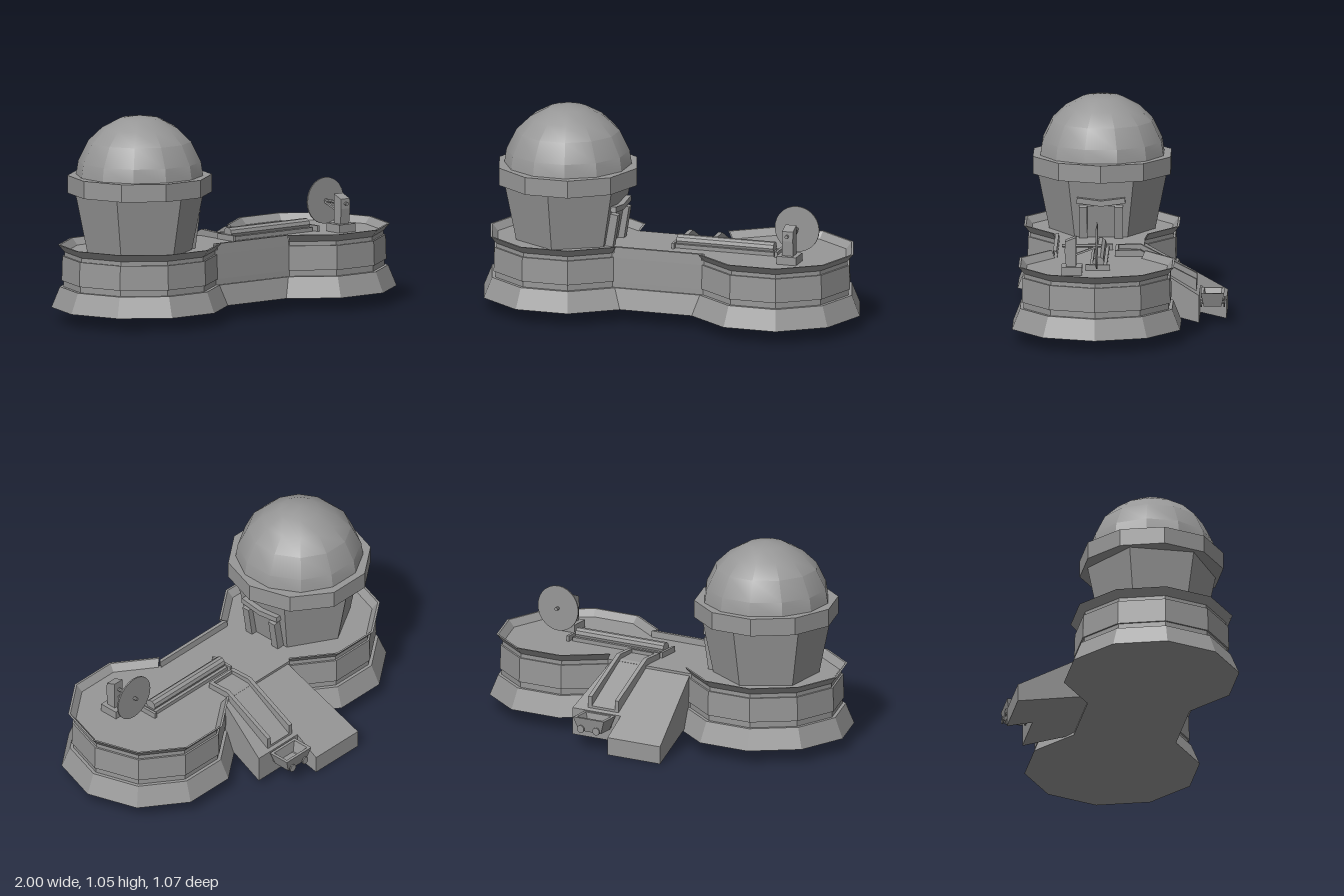
import * as THREE from 'three';
import { toCreasedNormals } from 'three/addons/utils/BufferGeometryUtils.js';

const CX = 0.553, CZ = 0.109; // centres of the two round platforms
const COLOR = 0x979797;

export function createModel() {
  const root = new THREE.Group();
  const flat = new THREE.MeshStandardMaterial({ color: COLOR, flatShading: true });
  const thin = new THREE.MeshStandardMaterial({ color: COLOR, flatShading: true, side: THREE.DoubleSide });
  const smooth = new THREE.MeshStandardMaterial({ color: COLOR });

  const add = (name, geo, x = 0, y = 0, z = 0, mat = flat, parent = root) => {
    const m = new THREE.Mesh(geo, mat);
    m.name = name;
    m.position.set(x, y, z);
    parent.add(m);
    return m;
  };
  const box = (w, h, d) => new THREE.BoxGeometry(w, h, d);

  // skin between successive rings of points
  const loft = (rings, closed) => {
    const n = rings[0].length, pos = rings.flat(2), idx = [];
    for (let i = 0; i < rings.length - 1; i++) {
      for (let j = 0; j < (closed ? n : n - 1); j++) {
        const a = i * n + j, b = i * n + (j + 1) % n;
        idx.push(a, b, a + n, b, b + n, a + n);
      }
    }
    const g = new THREE.BufferGeometry();
    g.setAttribute('position', new THREE.Float32BufferAttribute(pos, 3));
    g.setIndex(idx);
    g.computeVertexNormals();
    return g;
  };

  // side profile of [z, y] points, extruded along x
  const sideProfile = (pts, x, w) => {
    const s = new THREE.Shape(pts.map(([z, y]) => new THREE.Vector2(-z, y)));
    return new THREE.ExtrudeGeometry(s, { depth: w, bevelEnabled: false }).rotateY(Math.PI / 2).translate(x, 0, 0);
  };

  // decagon corner, and the joined outline of both platforms
  const corner = (cx, k, r, y) => [cx + r * Math.cos(k * Math.PI / 5), y, CZ - r * Math.sin(k * Math.PI / 5)];
  const outline = (r, y) => {
    const p = [];
    for (let k = -4; k <= 4; k++) p.push(corner(CX, k, r, y));
    for (let k = 1; k <= 9; k++) p.push(corner(-CX, k, r, y));
    return p;
  };
  const cap = (r, sign) => {
    const s = new THREE.Shape(outline(r, 0).map(p => new THREE.Vector2(p[0], -sign * p[2])));
    return new THREE.ShapeGeometry(s).rotateX(-sign * Math.PI / 2);
  };

  // platform walls, floor and underside
  const profile = [[0.447, 0.072], [0.404, 0.177], [0.386, 0.177], [0.386, 0.208], [0.395, 0.208],
    [0.391, 0.333], [0.381, 0.333], [0.381, 0.356]];
  add('platformWalls', loft(profile.map(([r, y]) => outline(r, y)), true));
  add('platformFloor', cap(0.381, 1), 0, 0.356);
  add('platformUnderside', cap(0.447, -1), 0, 0.072);

  // flared parapets, open towards the bridge
  const lip = [[0.381, 0.354], [0.413, 0.391], [0.402, 0.391], [0.373, 0.356]];
  for (const [side, first] of [[-1, 1], [1, -4]]) {
    const rings = lip.map(([r, y]) => Array.from({ length: 9 }, (_, i) => corner(side * CX, first + i, r, y)));
    add(side < 0 ? 'rightParapet' : 'leftParapet', loft(rings, false), 0, 0, 0, thin);
  }

  // kerb along the front of the bridge: half width, y, z
  const kerb = [[0.235, 0.333, 0.34], [0.23, 0.388, 0.338], [0.244, 0.388, 0.32], [0.244, 0.35, 0.316]];
  add('bridgeKerb', loft(kerb.map(([x, y, z]) => [[-x, y, z], [x, y, z]]), false), 0, 0, 0, thin);

  // tower: hexagonal shaft, collar, dome
  const tower = new THREE.Group();
  tower.name = 'tower';
  tower.position.set(-CX, 0, CZ);
  root.add(tower);
  add('towerShaft', new THREE.CylinderGeometry(0.329, 0.268, 0.302, 6), 0, 0.505, 0, flat, tower);
  add('towerCollar', new THREE.CylinderGeometry(0.366, 0.366, 0.09, 10, 1, false, Math.PI / 2), 0, 0.7, 0, flat, tower);
  const domeProfile = [[0.324, 0.735], [0.312, 0.815], [0.262, 0.917], [0.19, 0.986], [0.1, 1.034], [0, 1.049]];
  const dome = new THREE.LatheGeometry(domeProfile.map(p => new THREE.Vector2(...p)), 12, Math.PI / 12);
  add('dome', toCreasedNormals(dome, 0.5), 0, 0, 0, smooth, tower);

  // doorway on the bridge side of the tower
  for (const s of [-1, 1]) {
    add('doorPost', box(0.06, 0.17, 0.042), 0.258, 0.44, s * 0.09, flat, tower).rotation.z = -0.16;
    const beam = add('doorLintel', box(0.042, 0.028, 0.126), 0.275, 0.545, s * 0.06, flat, tower);
    beam.rotation.x = -s * 0.13;
  }
  add('doorPanel', box(0.015, 0.17, 0.14), 0.25, 0.44, 0, flat, tower).rotation.z = -0.18;

  // stepped ramp at the back: plan extruded, then tilted by a rule
  const rampTop = z => Math.min(0.355, 0.169 + (z + 0.405) * 0.6);
  const rampBase = z => 0.001 + (z + 0.533) * 0.234;
  const plan = [[-0.308, -0.533], [0, -0.533], [0, -0.402], [0.282, -0.402], [0.225, -0.095], [-0.23, -0.095]];
  const ramp = new THREE.ExtrudeGeometry(new THREE.Shape(plan.map(([x, z]) => new THREE.Vector2(x, -z))),
    { depth: 1, bevelEnabled: false }).rotateX(-Math.PI / 2);
  const rp = ramp.attributes.position;
  for (let i = 0; i < rp.count; i++) {
    const z = rp.getZ(i);
    rp.setY(i, rp.getY(i) > 0.5 ? rampTop(z) : rampBase(z));
  }
  ramp.computeVertexNormals();
  add('ramp', ramp);

  // chute: bent bed with two side walls, from the platform down the ramp
  const slab = (x, w, heights) => {
    const zs = [0.025, -0.1, -0.386];
    const low = zs.map(z => [z, rampTop(z) - 0.03]);
    const high = zs.map((z, i) => [z, rampTop(z) + heights[i]]);
    return sideProfile([...low, ...high.reverse()], x, w);
  };
  add('chuteBed', slab(0.03, 0.16, [0.012, 0.012, 0.012]));
  for (const x of [0.022, 0.178]) add('chuteWall', slab(x, 0.022, [0.03, 0.037, 0.06]));
  add('chuteEnd', box(0.17, 0.035, 0.015), 0.11, 0.367, 0.018);

  // cart: hollow tapered tub on four wheels
  const cart = new THREE.Group();
  cart.name = 'cart';
  cart.position.set(0.117, 0, -0.467);
  root.add(cart);
  const rect = (w, d, y) => [[w, y, d], [w, y, -d], [-w, y, -d], [-w, y, d]];
  add('cartTub', loft([rect(0, 0, 0.097), rect(0.065, 0.045, 0.097), rect(0.09, 0.059, 0.168),
    rect(0.074, 0.044, 0.168), rect(0.055, 0.034, 0.113), rect(0, 0, 0.113)], true), 0, 0, 0, flat, cart);
  for (const x of [-0.045, 0.045]) {
    add('cartAxle', new THREE.CylinderGeometry(0.005, 0.005, 0.12, 6).rotateX(Math.PI / 2), x, 0.11, 0, flat, cart);
    for (const z of [-0.058, 0.058]) {
      add('cartWheel', new THREE.CylinderGeometry(0.02, 0.02, 0.007, 10).rotateX(Math.PI / 2), x, 0.11, z, flat, cart);
    }
  }

  // long pipe lying on a low bed between end sills
  add('pipe', new THREE.CylinderGeometry(0.03, 0.03, 0.515, 10).rotateZ(Math.PI / 2), 0.288, 0.39, CZ - 0.008);
  add('pipeBed', box(0.53, 0.02, 0.085), 0.288, 0.366, CZ - 0.008);
  for (const x of [0.022, 0.572]) add('pipeSill', box(0.014, 0.03, 0.125), x, 0.37, CZ - 0.006);

  // disc on its stand
  add('standFoot', box(0.104, 0.045, 0.104), 0.665, 0.375, 0.232);
  add('standShaft', sideProfile([[0.26, 0.39], [0.268, 0.475], [0.265, 0.525], [0.21, 0.547], [0.21, 0.39]],
    0.637, 0.058));
  add('discAxle', new THREE.CylinderGeometry(0.009, 0.009, 0.2, 8).rotateX(Math.PI / 2), 0.665, 0.5, 0.182);
  add('axleBrace', box(0.012, 0.01, 0.12), 0.665, 0.475, 0.157).rotation.x = 0.36;
  add('disc', new THREE.CylinderGeometry(0.118, 0.118, 0.007, 28).rotateX(Math.PI / 2), 0.665, 0.5, 0.106);
  return root;
}
